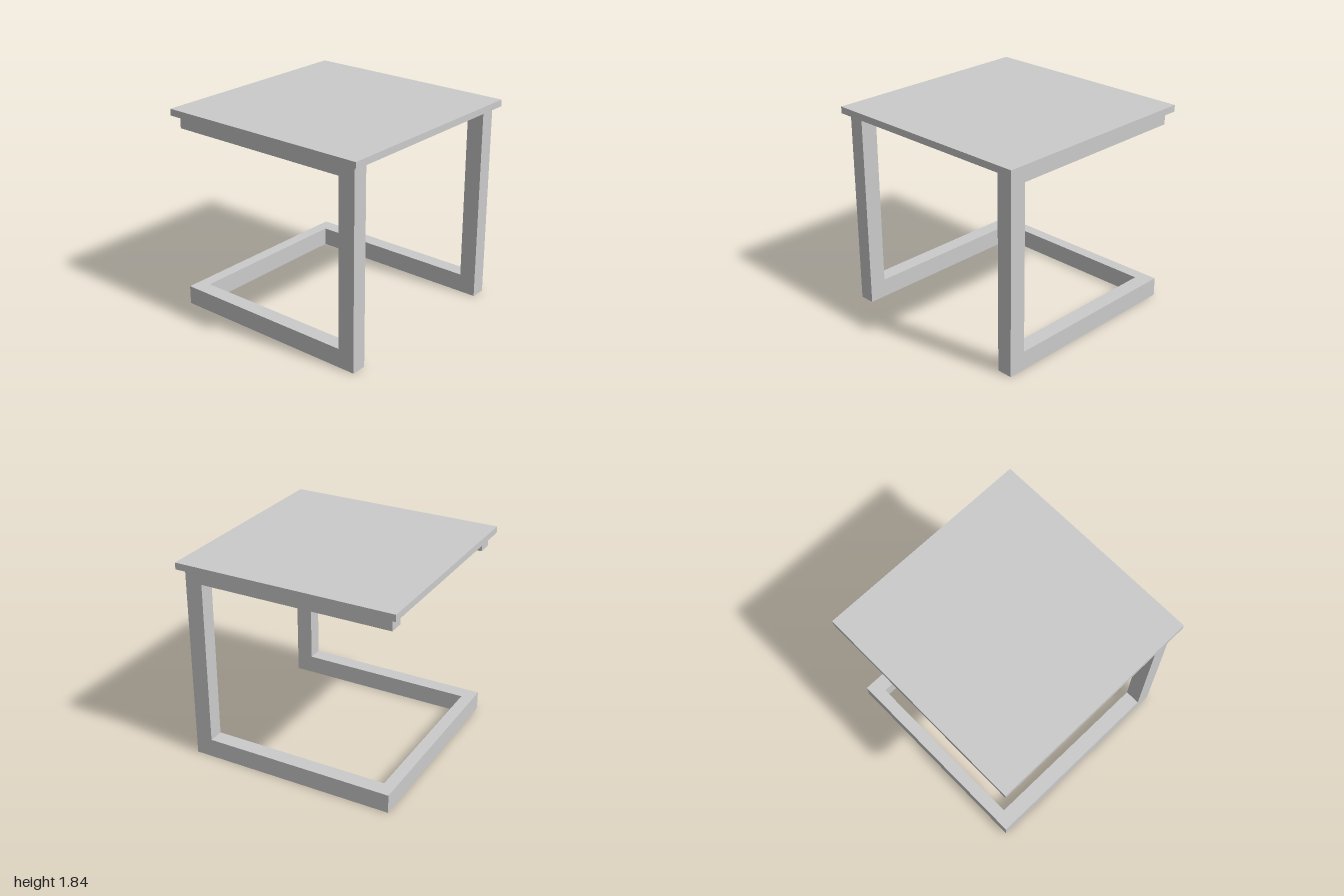
import * as THREE from 'three';

const material = new THREE.MeshStandardMaterial({ color: 0xcccccc });

// Box given by its minimum and maximum corners
function box(name, [x0, y0, z0], [x1, y1, z1]) {
  const mesh = new THREE.Mesh(new THREE.BoxGeometry(x1 - x0, y1 - y0, z1 - z0), material);
  mesh.position.set((x0 + x1) / 2, (y0 + y1) / 2, (z0 + z1) / 2);
  mesh.name = name;
  return mesh;
}

export function createModel() {
  const group = new THREE.Group();
  group.name = 'sideTable';

  const outer = 0.945; // outer faces of the frame
  const width = 0.14; // frame bar width along z
  const inner = outer - width;
  const floorBar = 0.17; // height of the floor bars
  const underTop = 1.78;

  // Table top
  group.add(box('tableTop', [-1, underTop, -1], [1, 1.84, 1]));

  // C-shaped side frame: floor bar, leg and top rail in one outline
  const outline = new THREE.Shape([
    [-outer, 0], [outer, 0], [outer, underTop], [-outer, underTop],
    [-outer, 1.665], [0.79, 1.665], [0.79, floorBar], [-outer, floorBar],
  ].map(([x, y]) => new THREE.Vector2(x, y)));
  const frameGeometry = new THREE.ExtrudeGeometry(outline, { depth: width, bevelEnabled: false });

  for (const [name, z] of [['frontFrame', inner], ['backFrame', -outer]]) {
    const frame = new THREE.Mesh(frameGeometry, material);
    frame.position.z = z;
    frame.name = name;
    group.add(frame);
  }

  // Floor crossbar joining the two frames opposite the legs
  group.add(box('floorCrossbar', [-outer, 0, -inner], [-outer + 0.11, floorBar, inner]));

  return group;
}
